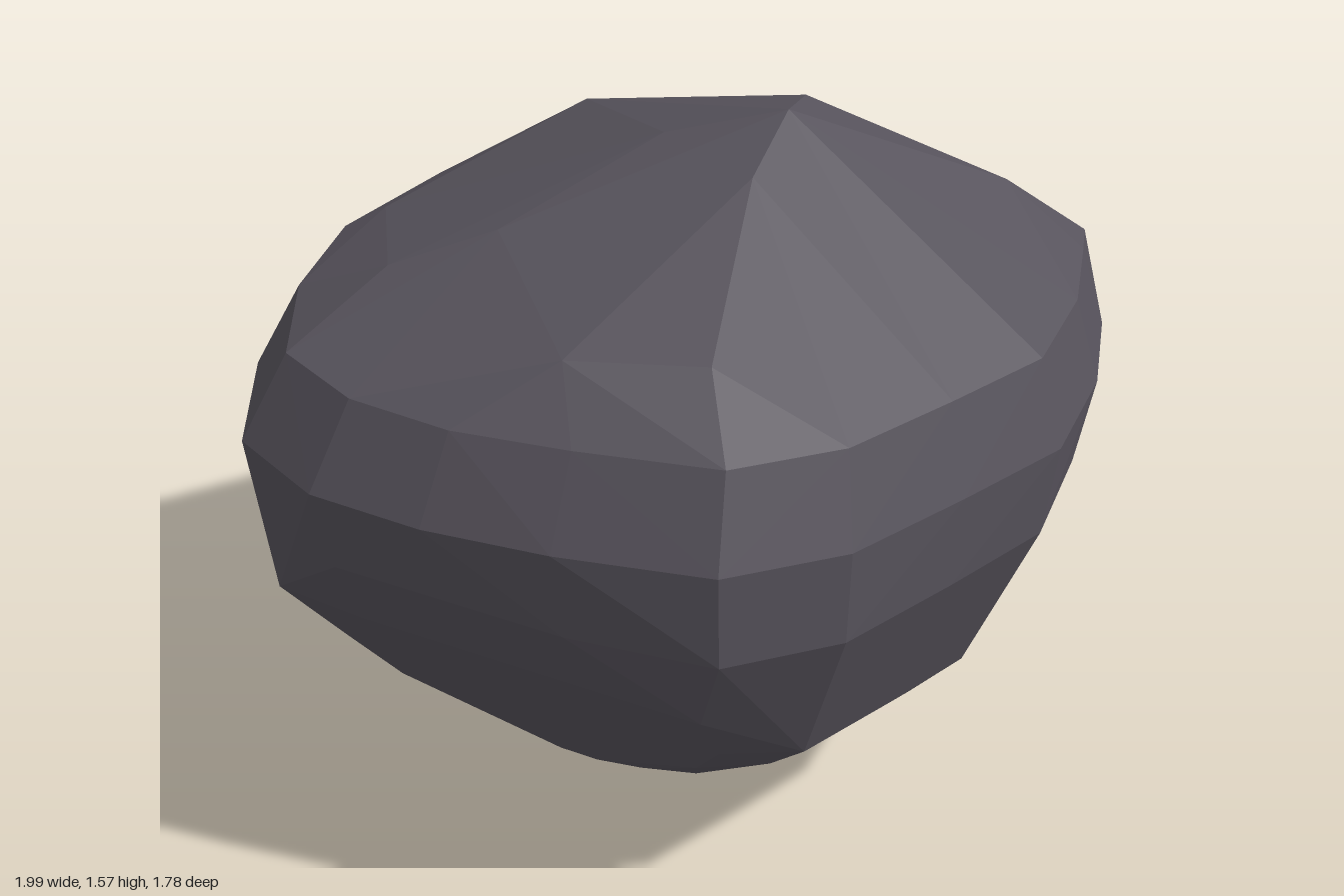
import * as THREE from 'three';
import { ConvexGeometry } from 'three/addons/geometries/ConvexGeometry.js';

const stone = new THREE.MeshStandardMaterial({ color: 0x57535c });
stone.name = 'dark stone';

// Plan outline of the boulder at its widest, as [x, z] corners
const outline = [
  [-1, 0.14], [-0.89, 0.38], [-0.7, 0.57], [-0.46, 0.72], [-0.16, 0.88], [0.12, 0.86], [0.4, 0.73], [0.66, 0.6],
  [0.84, 0.36], [0.95, 0.12], [0.99, -0.16], [0.84, -0.36], [0.41, -0.66], [0, -0.82], [-0.5, -0.7],
  [-0.78, -0.46], [-0.93, -0.18],
];

// How the outline is resized with height:
// y, min x, max x, min z, max z, reach to the front right, reach to the back left
const levels = [
  [0.11, -0.4, 0.38, -0.17, 0.38, 0.39, 0.3],
  [0.28, -0.74, 0.65, -0.5, 0.6, 0.5, 0.57],
  [0.43, -0.83, 0.77, -0.72, 0.76, 0.6, 0.71],
  [0.6, -0.95, 0.86, -0.83, 0.82, 0.72, 0.77],
  [0.8, -0.97, 0.95, -0.89, 0.89, 0.82, 0.81],
  [1.01, -1, 0.99, -0.82, 0.88, 0.88, 0.81],
  [1.2, -0.89, 0.93, -0.74, 0.79, 0.86, 0.62],
];

// Tilted crown and lowest corners of the boulder
const crown = [
  [0.23, 1.57, 0], [0.34, 1.49, -0.23], [0.75, 1.33, -0.02], [-0.08, 1.36, -0.61], [0.1, 1.51, 0.18],
  [-0.02, 1.5, -0.1], [-0.42, 1.39, 0.05], [-0.65, 1.31, 0], [-0.38, 1.32, 0.5], [-0.6, 1.26, -0.37],
  [-0.1, 1.32, 0.6], [0.94, 1.19, 0],
];
const foot = [[-0.1, 0, 0.21], [0.18, 0.035, 0.05]];

// Smaller stone lodged in the back left flank
const lump = [
  [0.99, 0.65, -0.22], [0.93, 0.47, -0.12], [0.95, 0.85, -0.25], [0.77, 0.29, -0.15], [0.85, 0.4, -0.45],
  [0.94, 0.62, -0.43], [0.82, 0.66, -0.63], [0.55, 0.65, -0.69], [0.78, 0.94, -0.5], [0.84, 0.97, -0.36],
  [0.58, 0.45, -0.65], [0.65, 0.26, -0.3], [0.85, 0.62, 0.05], [0.35, 0.6, -0.3], [0.94, 0.78, -0.09],
  [0.75, 0.81, -0.62], [0.65, 0.33, -0.52], [0.82, 0.46, 0.01], [0.48, 0.8, -0.65],
];

// Shear off a corner where it reaches too far along a level direction
function shear(point, nx, nz, reach) {
  const excess = Math.max(0, point.x * nx + point.z * nz - reach);
  point.x -= nx * excess;
  point.z -= nz * excess;
}

function boulderCorners() {
  const { mapLinear } = THREE.MathUtils;
  const rings = levels.flatMap(([y, x0, x1, z0, z1, frontReach, backReach]) => outline.map(([x, z]) => {
    const point = new THREE.Vector3(mapLinear(x, -1, 0.99, x0, x1), y, mapLinear(z, -0.82, 0.88, z0, z1));
    shear(point, -0.66, 0.75, frontReach);
    shear(point, 0.63, -0.78, backReach);
    return point;
  }));
  return [...toVectors(foot), ...rings, ...toVectors(crown)];
}

const toVectors = corners => corners.map(c => new THREE.Vector3(...c));

// Faceted stone wrapped around its corners
function facetedStone(name, corners) {
  const mesh = new THREE.Mesh(new ConvexGeometry(corners), stone);
  mesh.name = name;
  return mesh;
}

export function createModel() {
  const rock = new THREE.Group();
  rock.name = 'rock';
  rock.add(facetedStone('boulder', boulderCorners()));
  rock.add(facetedStone('sideStone', toVectors(lump)));
  return rock;
}
